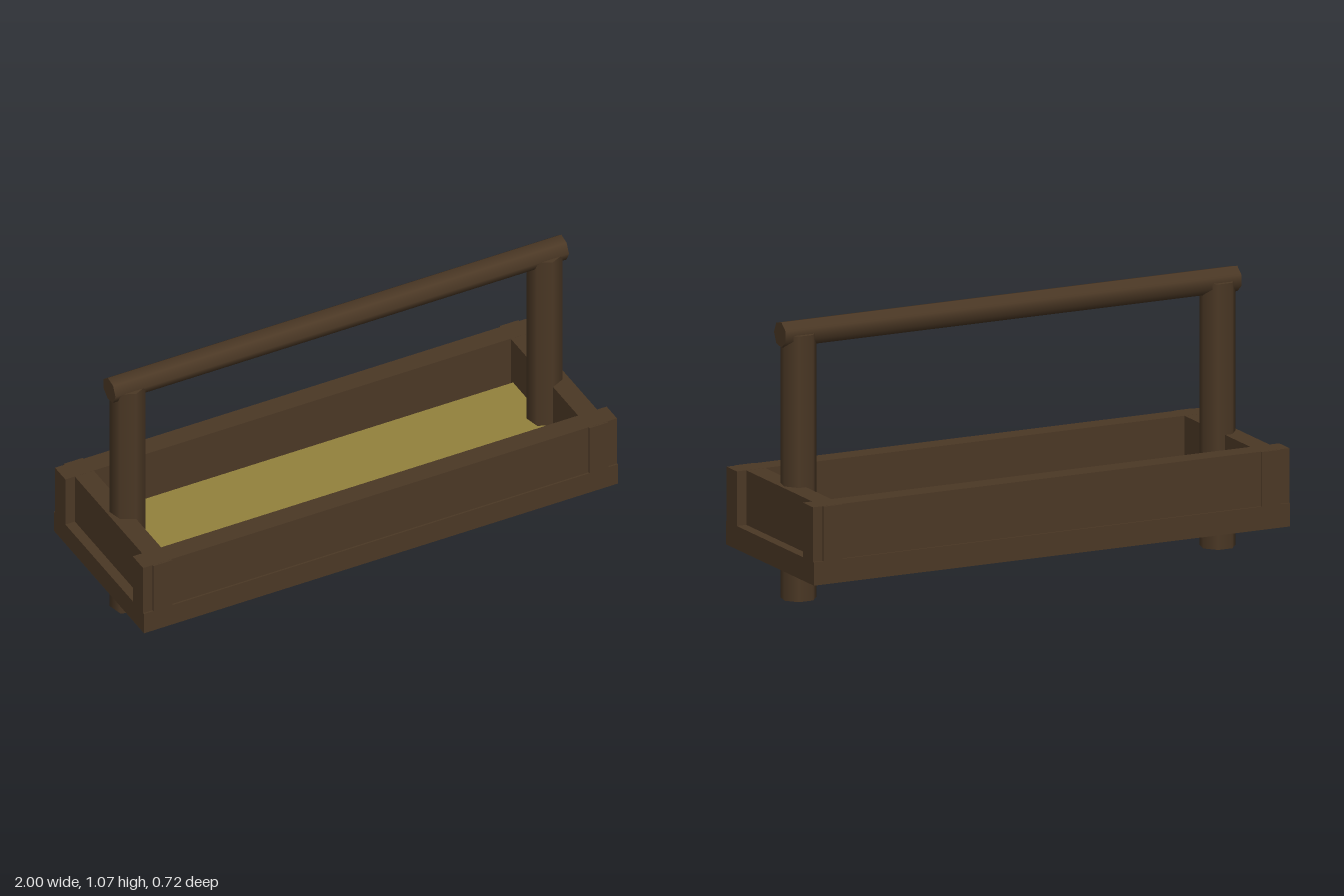
import * as THREE from 'three';

export function createModel() {
  const model = new THREE.Group();
  model.name = 'handledTray';

  const wood = new THREE.MeshStandardMaterial({ color: 0x4b3825 });
  wood.name = 'dark wood';
  const straw = new THREE.MeshStandardMaterial({ color: 0x93823d });
  straw.name = 'straw yellow';

  const add = (name, geometry, material, x, y, z) => {
    const mesh = new THREE.Mesh(geometry, material);
    mesh.name = name;
    mesh.position.set(x, y, z);
    model.add(mesh);
    return mesh;
  };
  const box = (w, h, d) => new THREE.BoxGeometry(w, h, d);

  // Floor slab and the filling lying on it
  add('trayBase', box(2, 0.09, 0.72), wood, 0, 0.185, 0);
  add('filling', box(1.745, 0.04, 0.475), straw, 0, 0.24, 0);

  for (const s of [1, -1]) {
    const side = s > 0 ? 'left' : 'right';
    const face = s > 0 ? 'front' : 'back';

    // Walls cross at the corners, each one poking out past the other
    add(face + 'Wall', box(2, 0.21, 0.083), wood, 0, 0.335, s * 0.3115);
    add(side + 'EndWall', box(0.08, 0.2095, 0.72), wood, s * 0.92, 0.33475, 0);

    // Seven-sided upright, running through the floor down to the ground
    add(side + 'Post', new THREE.CylinderGeometry(0.069, 0.069, 1.022, 7), wood, s * 0.88, 0.511, 0);
  }

  // Carrying bar across the uprights
  const bar = add('handleBar', new THREE.CylinderGeometry(0.05, 0.05, 1.914, 7), wood, 0, 1.022, 0);
  bar.rotation.z = Math.PI / 2;

  return model;
}
